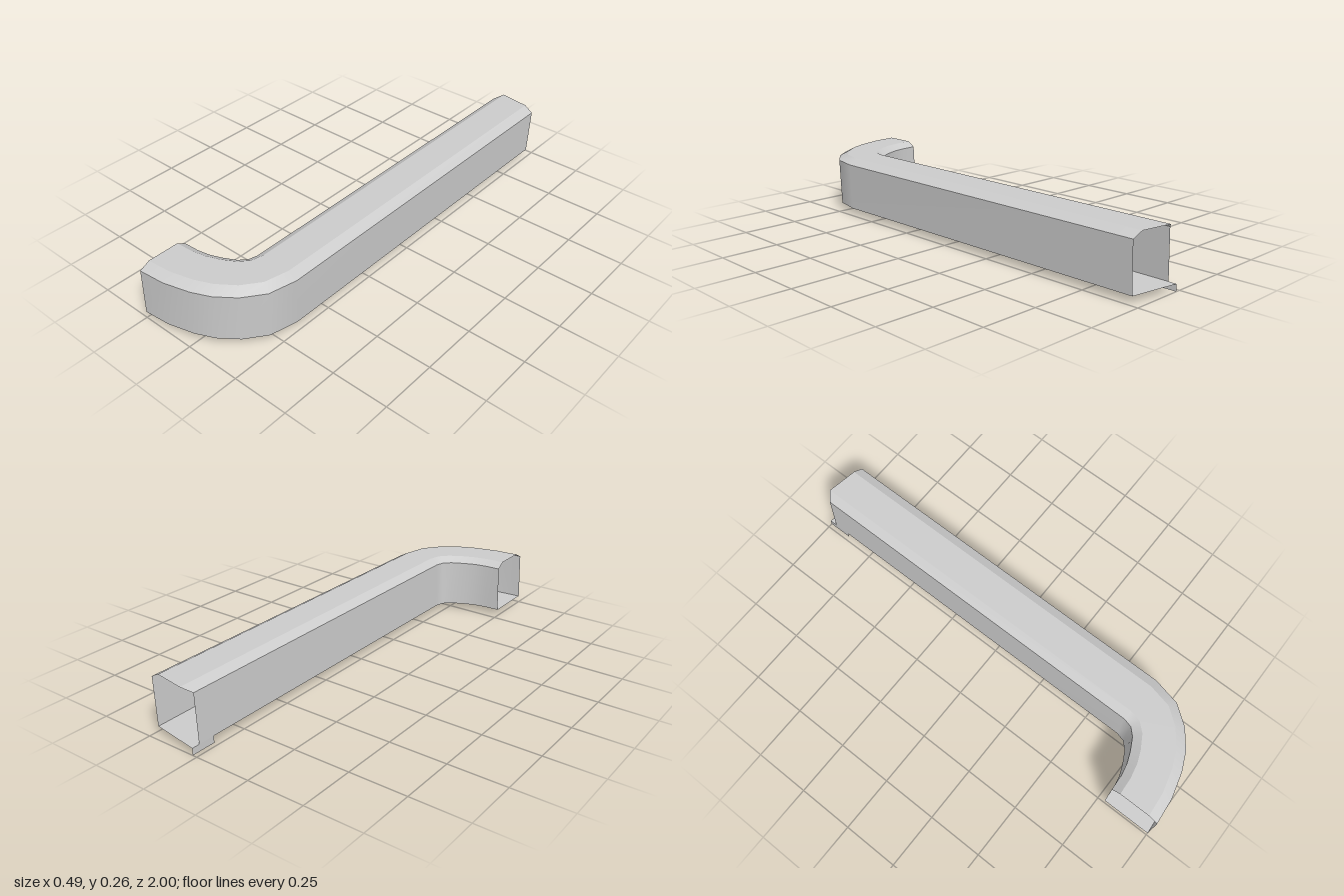
import * as THREE from 'three';

// Base plan of the duct, back to front: inner x, z and outer x, z
const STATIONS = [
  [0.02, -0.965, 0.237, -0.965],
  [0.02, 0.65, 0.237, 0.66],
  [0.01, 0.69, 0.21, 0.78],
  [-0.02, 0.72, 0.145, 0.865],
  [-0.075, 0.748, 0.065, 0.925],
  [-0.125, 0.767, -0.015, 0.96],
  [-0.18, 0.777, -0.13, 0.99],
  [-0.248, 0.78, -0.248, 1.0],
];
const LOW = 0.03, SHOULDER = 0.24, TOP = 0.263;
const LEAN = 0.037; // slight sideways lean of the whole section

// Section corners: share of the way from inner to outer, height, z shift at the back end
const CORNERS = {
  outerLow: [1, LOW, 0],
  outerShoulder: [1, SHOULDER, 0],
  outerTop: [0.8, TOP, -0.006],
  innerTop: [0.17, TOP, -0.028],
  innerShoulder: [0, SHOULDER, 0],
  innerLow: [0, LOW, 0],
  floorInner: [0, LOW, -0.035],
};

function cornerPoint([t, y, backShift], station, i) {
  const [ix, iz, ox, oz] = station;
  const x = ix + (ox - ix) * t + LEAN * (y - LOW);
  const z = iz + (oz - iz) * t + (i === 0 ? backShift : 0);
  return [x, y, z];
}

// One face of the duct, running the whole length between two section corners
function strip(name, from, to, material) {
  const positions = [], index = [];
  STATIONS.forEach((station, i) => {
    positions.push(...cornerPoint(CORNERS[from], station, i));
    positions.push(...cornerPoint(CORNERS[to], station, i));
    if (i > 0) {
      const a = 2 * i - 2;
      index.push(a, a + 1, a + 2, a + 1, a + 3, a + 2);
    }
  });
  const geometry = new THREE.BufferGeometry();
  geometry.setAttribute('position', new THREE.Float32BufferAttribute(positions, 3));
  geometry.setIndex(index);
  geometry.computeVertexNormals();
  const mesh = new THREE.Mesh(geometry, material);
  mesh.name = name;
  return mesh;
}

export function createModel() {
  const group = new THREE.Group();
  group.name = 'curvedDuct';
  const material = new THREE.MeshStandardMaterial({ color: 0xcccccc, side: THREE.DoubleSide });

  // Thin shell, open at both ends
  [
    ['outerWall', 'outerLow', 'outerShoulder'],
    ['outerBevel', 'outerShoulder', 'outerTop'],
    ['topPanel', 'outerTop', 'innerTop'],
    ['innerBevel', 'innerTop', 'innerShoulder'],
    ['innerWall', 'innerShoulder', 'innerLow'],
    ['floorPanel', 'floorInner', 'outerLow'],
  ].forEach(([name, from, to]) => group.add(strip(name, from, to, material)));

  // Thin tab hanging below the back end
  const tab = new THREE.Mesh(new THREE.PlaneGeometry(0.11, LOW), material);
  tab.name = 'mountingTab';
  tab.rotation.y = -Math.PI / 2;
  tab.position.set(0.02, LOW / 2, -0.945);
  group.add(tab);

  return group;
}
